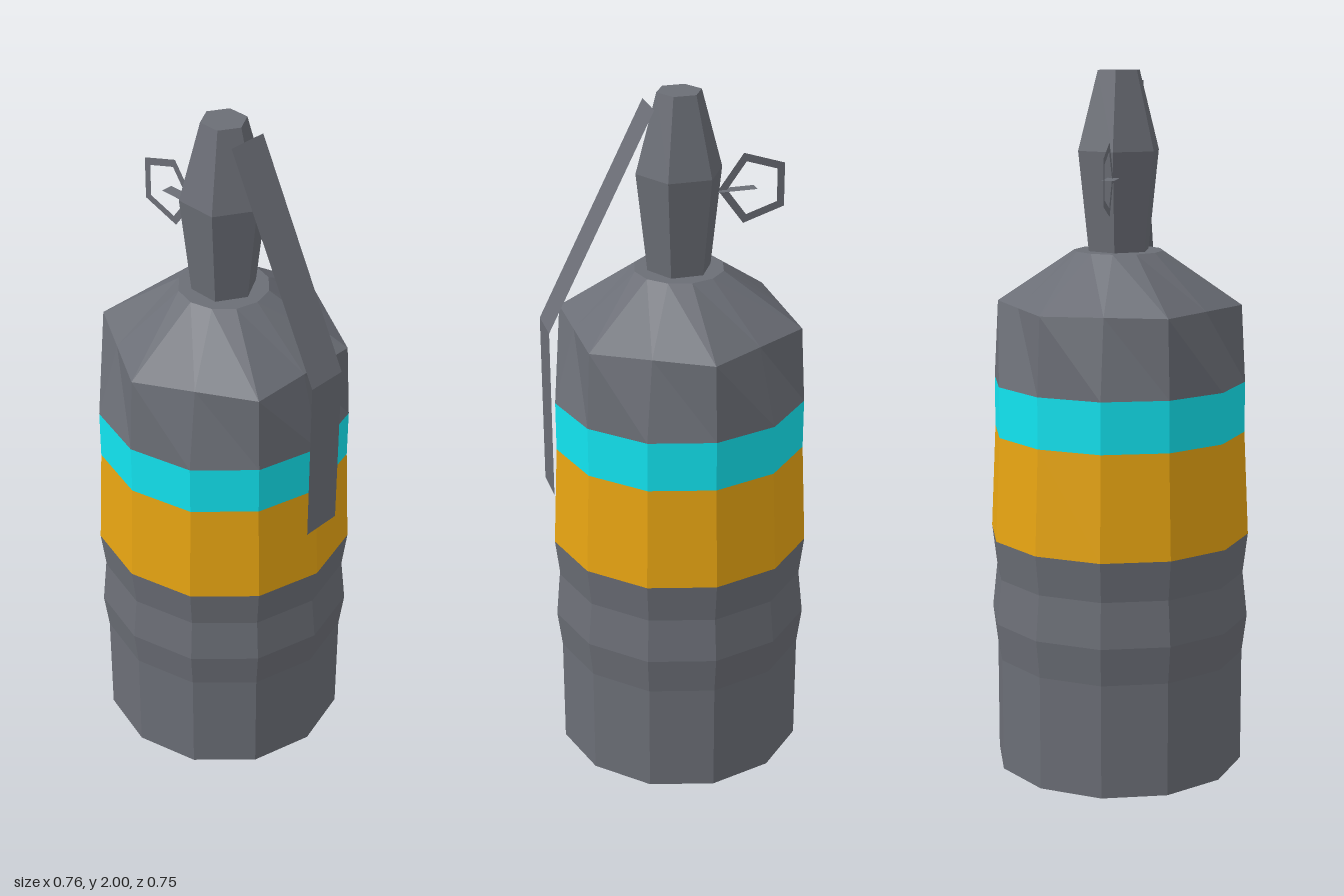
import * as THREE from 'three';

const paint = (color) => new THREE.MeshStandardMaterial({ color, flatShading: true, side: THREE.DoubleSide });
const CX = -0.005; // axis of the round parts

export function createModel() {
  const group = new THREE.Group();
  const steel = paint(0x6b6e76);
  const orange = paint(0xe8a512);
  const cyan = paint(0x12e4f0);

  const add = (name, geometry, material, x = 0, y = 0) => {
    const mesh = new THREE.Mesh(geometry, material);
    mesh.name = name;
    mesh.position.set(x, y, 0);
    group.add(mesh);
    return mesh;
  };
  // faceted turned part from [radius, height] pairs, bottom to top
  const turned = (profile, sides, start = 0) =>
    new THREE.LatheGeometry(profile.map(([r, y]) => new THREE.Vector2(r, y)), sides, start);

  // canister with a bulged grip ring
  add('lowerBody', turned([[0, 0], [0.362, 0], [0.362, 0.33], [0.376, 0.44], [0.362, 0.57], [0.376, 0.685]], 12), steel, CX);
  add('orangeBand', turned([[0.376, 0.685], [0.362, 0.985]], 12), orange, CX);
  add('cyanBand', turned([[0.362, 0.985], [0.362, 1.13]], 12), cyan, CX);

  // shoulder: twelve sides below, pulled into a hexagon at the rim
  const shoulder = turned([[0.362, 1.13], [0.35, 1.35], [0.127, 1.5], [0, 1.5]], 12);
  const pos = shoulder.attributes.position;
  const flat = Math.cos(Math.PI / 6);
  for (let i = 1; i <= 12; i += 2) {
    const v = i * 4 + 1;
    pos.setXYZ(v, pos.getX(v) * flat, pos.getY(v), pos.getZ(v) * flat);
  }
  add('shoulder', shoulder, steel, CX);

  // six-sided fuse head
  add('fuseHead', turned([[0, 1.49], [0.09, 1.49], [0.122, 1.78], [0.063, 2], [0, 2]], 6, Math.PI / 6), steel, CX);

  // thin sheet lever: sloped upper part, vertical lower part
  const bends = [[0.08, 1.97], [0.38, 1.37], [0.38, 0.87]];
  const lever = new THREE.PlaneGeometry(0.116, 1, 1, 2);
  const lp = lever.attributes.position;
  for (let i = 0; i < lp.count; i++) {
    const [x, y] = bends[Math.floor(i / 2)];
    lp.setXYZ(i, x, y, -lp.getX(i));
  }
  add('lever', lever, steel);

  // flat five-sided pull ring and its pin
  add('pullRing', new THREE.RingGeometry(0.08, 0.106, 5, 1), steel, -0.222, 1.71);
  const pin = new THREE.PlaneGeometry(0.115, 0.035).rotateX(-Math.PI / 2);
  add('pin', pin, steel, -0.166, 1.71);

  return group;
}
